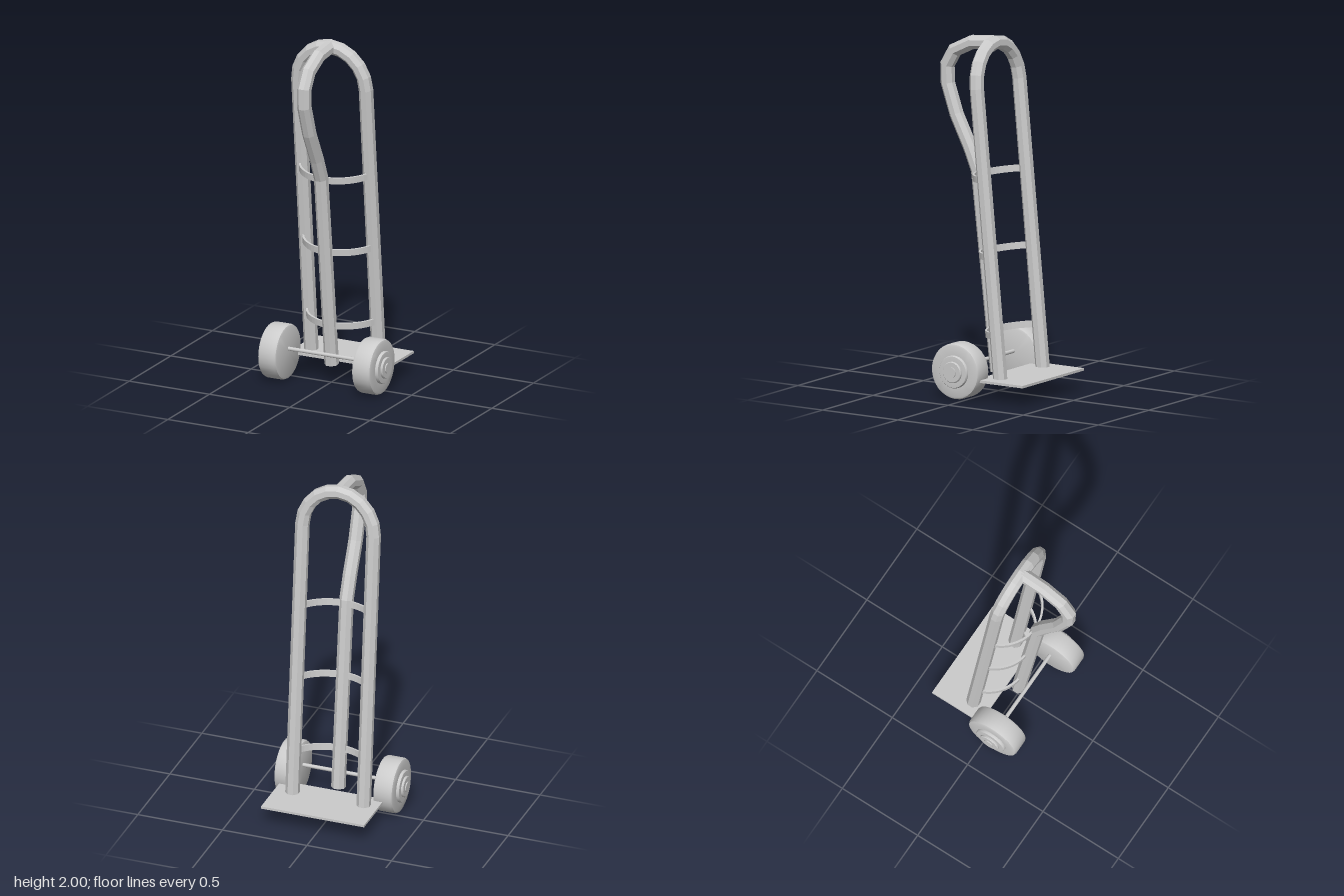
import * as THREE from 'three';
import { toCreasedNormals } from 'three/addons/utils/BufferGeometryUtils.js';

const CX = 0.005;                 // centre line of the tube frame
const LEAN = Math.atan(0.096);    // backward lean of the frame
const TUBE_R = 0.0375;

const flatGrey = new THREE.MeshStandardMaterial({ color: 0xcccccc, flatShading: true });
const smoothGrey = new THREE.MeshStandardMaterial({ color: 0xcccccc });

function addMesh(parent, name, geometry, material) {
  const mesh = new THREE.Mesh(geometry, material);
  mesh.name = name;
  parent.add(mesh);
  return mesh;
}

// Octagonal tube with mitred bends along a path lying in the plane with normal n
function octTube(path, n, r) {
  const sides = 8, R = r / Math.cos(Math.PI / sides);
  const pos = [], idx = [];
  const last = path.length - 1;
  const dir = (i) => path[i + 1].clone().sub(path[i]).normalize();
  path.forEach((pt, i) => {
    const before = dir(Math.max(i - 1, 0));
    const after = dir(Math.min(i, last - 1));
    const t = before.clone().add(after).normalize();
    const p = t.clone().cross(n).divideScalar(t.dot(after));
    for (let k = 0; k < sides; k++) {
      const a = ((k + 0.5) / sides) * Math.PI * 2;
      const v = pt.clone().addScaledVector(n, R * Math.cos(a)).addScaledVector(p, R * Math.sin(a));
      pos.push(v.x, v.y, v.z);
    }
  });
  for (let i = 0; i < last; i++) {
    for (let k = 0; k < sides; k++) {
      const k1 = (k + 1) % sides;
      const a = i * sides + k, b = i * sides + k1, c = b + sides, d = a + sides;
      idx.push(a, b, c, a, c, d);
    }
  }
  // End caps
  const e = last * sides;
  for (let k = 1; k < sides - 1; k++) idx.push(0, k + 1, k, e, e + k, e + k + 1);
  const g = new THREE.BufferGeometry();
  g.setAttribute('position', new THREE.Float32BufferAttribute(pos, 3));
  g.setIndex(idx);
  g.computeVertexNormals();
  return g;
}

// Curved flat strip, bowed toward +z, standing along y
function braceGeometry() {
  const half = 0.215, sag = 0.135, thick = 0.012, height = 0.037;
  const R = (half * half + sag * sag) / (2 * sag);
  const a = Math.asin(half / R);
  const s = new THREE.Shape();
  s.absarc(0, 0, R, Math.PI / 2 - a, Math.PI / 2 + a, false);
  s.absarc(0, 0, R - thick, Math.PI / 2 + a, Math.PI / 2 - a, true);
  const g = new THREE.ExtrudeGeometry(s, { depth: height, bevelEnabled: false, curveSegments: 10 });
  g.translate(0, sag - R, -height / 2);
  g.rotateX(Math.PI / 2);
  return g;
}

// Wheel with stepped hub, turned about the x axis, outer side at +x
function wheelGeometry() {
  const profile = [
    [0, 0.235], [0.142, 0.235], [0.152, 0.239], [0.157, 0.25],
    [0.157, 0.335], [0.152, 0.346], [0.142, 0.35],
    [0.092, 0.35], [0.092, 0.361], [0.088, 0.366], [0.076, 0.367],
    [0.06, 0.367], [0.06, 0.375], [0.056, 0.379],
    [0.029, 0.379], [0.029, 0.385], [0, 0.385],
  ].map(([r, x]) => new THREE.Vector2(r, x));
  const g = new THREE.LatheGeometry(profile, 32);
  g.rotateZ(-Math.PI / 2);
  return toCreasedNormals(g, 0.7);
}

export function createModel() {
  const model = new THREE.Group();
  model.name = 'handTruck';

  // Leaning frame: arched tube and the bowed cross braces
  const frame = new THREE.Group();
  frame.name = 'frame';
  frame.position.set(CX, 0.11, -0.157);
  frame.rotation.x = LEAN;
  model.add(frame);

  const along = (y) => (y - 0.11) / Math.cos(LEAN);
  const halfWidth = 0.2105, archY = along(1.735), archH = along(1.962) - archY;
  const arch = [new THREE.Vector3(halfWidth, 0, 0)];
  const steps = 10;
  for (let i = 0; i <= steps; i++) {
    const a = (i / steps) * Math.PI;
    arch.push(new THREE.Vector3(halfWidth * Math.cos(a), archY + archH * Math.sin(a), 0));
  }
  arch.push(new THREE.Vector3(-halfWidth, 0, 0));
  addMesh(frame, 'archedFrameTube', octTube(arch, new THREE.Vector3(0, 0, 1), TUBE_R), flatGrey);

  const brace = braceGeometry();
  for (const y of [0.358, 0.798, 1.228]) {
    addMesh(frame, 'crossBrace', brace, flatGrey).position.set(0, along(y), 0.035);
  }

  // Centre pole that bends into the rear loop handle, given as [z, y]
  const pole = [
    [0.005, 0.11], [0.132, 1.228], [0.185, 1.354], [0.275, 1.53], [0.333, 1.7],
    [0.336, 1.804], [0.286, 1.89], [0.169, 1.948], [0.025, 1.961],
  ].map(([z, y]) => new THREE.Vector3(CX, y, z));
  addMesh(model, 'centrePoleAndHandle', octTube(pole, new THREE.Vector3(1, 0, 0), TUBE_R), flatGrey);

  // Toe plate
  addMesh(model, 'toePlate', new THREE.BoxGeometry(0.61, 0.014, 0.32), flatGrey)
    .position.set(0.014, 0.113, -0.215);

  // Axle
  const axle = addMesh(model, 'axle', new THREE.CylinderGeometry(0.011, 0.011, 0.5, 12), smoothGrey);
  axle.rotation.z = Math.PI / 2;
  axle.position.set(0, 0.177, 0.059);

  // Wheels
  const wheel = wheelGeometry();
  for (const [name, turn] of [['leftWheel', 0], ['rightWheel', Math.PI]]) {
    const w = addMesh(model, name, wheel, smoothGrey);
    w.position.set(0, 0.157, 0.059);
    w.rotation.y = turn;
  }
  return model;
}
